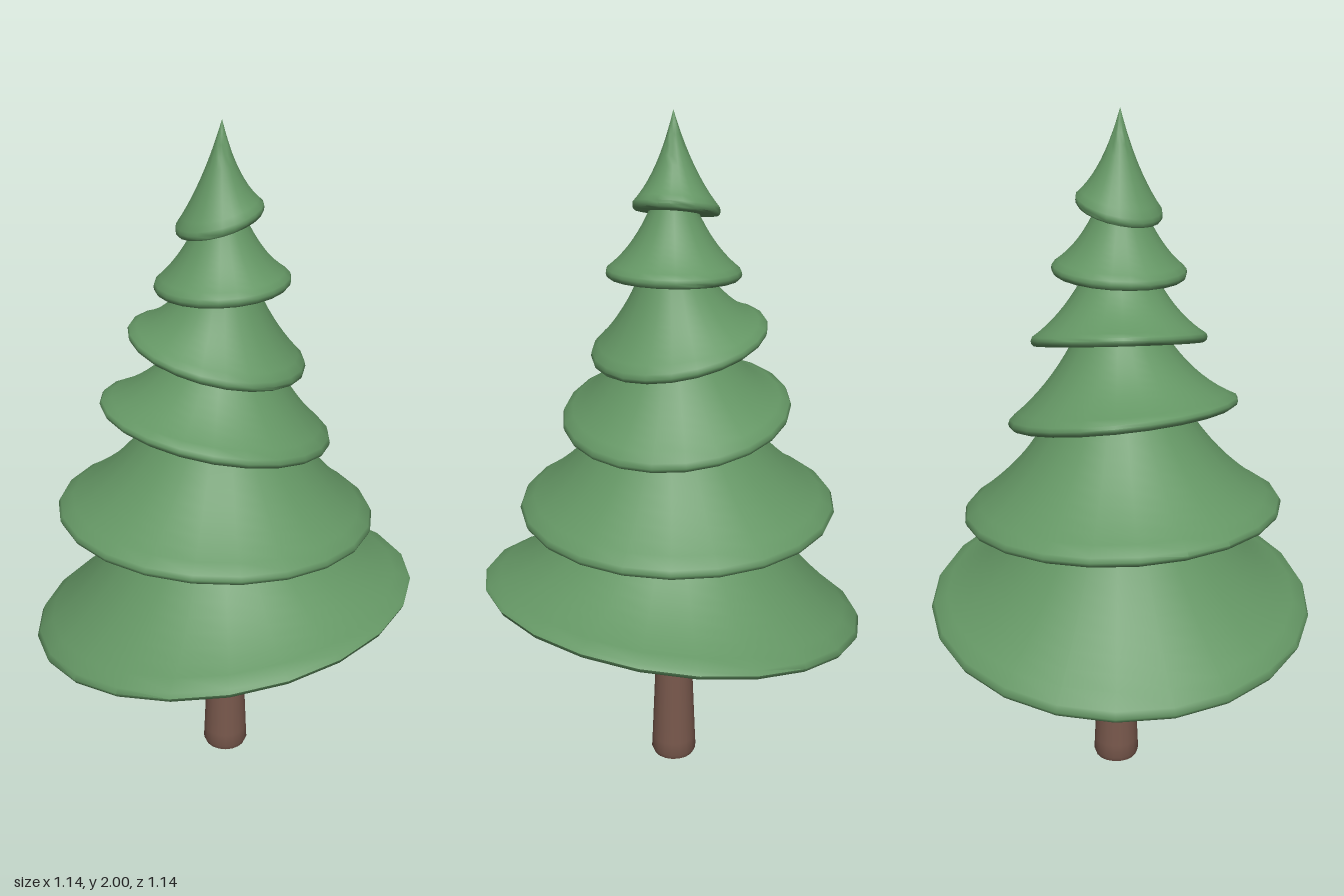
import * as THREE from 'three';
import { toCreasedNormals } from 'three/addons/utils/BufferGeometryUtils.js';

const leafMaterial = new THREE.MeshStandardMaterial({ color: 0x649664 });
const barkMaterial = new THREE.MeshStandardMaterial({ color: 0x78584c });
const v2 = (x, y) => new THREE.Vector2(x, y);

// Foliage tiers, bottom to top: rim centre, rim radius, rim slope along x and z,
// and the neck radius and height where the tier runs into the one above.
const TIERS = [
  { centre: [0, 0.555, 0], radius: 0.572, slope: [0.132, 0.105], neck: [0.235, 0.89] },
  { centre: [-0.018, 0.862, -0.008], radius: 0.468, slope: [-0.048, 0.01], neck: [0.17, 1.2] },
  { centre: [-0.018, 1.152, -0.005], radius: 0.333, slope: [-0.19, -0.02], neck: [0.115, 1.4] },
  { centre: [-0.01, 1.365, -0.015], radius: 0.252, slope: [-0.18, -0.13], neck: [0.085, 1.58] },
  { centre: [0.002, 1.56, -0.002], radius: 0.191, slope: [0.06, 0], neck: [0.055, 1.76] },
  { centre: [-0.004, 1.738, -0.008], radius: 0.121, slope: [0.28, 0], neck: [0, 2] },
];

// A concave skirt with a rounded rim and flat underside; its tilt fades out toward the neck.
function createTier({ centre, radius, slope, neck }, index) {
  const [cx, cy, cz] = centre;
  const height = neck[1] - cy;
  const lip = 0.012 + radius * 0.014;
  const shoulder = v2(radius * 0.985, lip * 0.7);
  const skirt = new THREE.QuadraticBezierCurve(
    shoulder,
    v2(THREE.MathUtils.lerp(radius, neck[0], 0.62), height * 0.36),
    v2(neck[0], height),
  );
  const profile = [
    v2(0, -lip), v2(radius * 0.5, -lip), v2(radius * 0.96, -lip),
    v2(radius * 0.99, -lip * 0.6), v2(radius, 0),
    ...skirt.getPoints(10),
  ];
  const geometry = new THREE.LatheGeometry(profile, 22, -0.05 + index * 0.12);
  const p = geometry.attributes.position;
  for (let i = 0; i < p.count; i++) {
    const x = p.getX(i), y = p.getY(i), z = p.getZ(i);
    const rise = THREE.MathUtils.clamp(y / height, 0, 1);
    const fade = 1 - rise;
    p.setXYZ(i, x + cx * fade, cy + y + (slope[0] * x + slope[1] * z) * fade, z + cz * fade);
  }
  const mesh = new THREE.Mesh(toCreasedNormals(geometry, 1.0), leafMaterial);
  mesh.name = `foliageTier${index + 1}`;
  return mesh;
}

// Tapered trunk with a rounded foot and a shallow hollow underneath.
function createTrunk() {
  const profile = [
    v2(0, 0.015), v2(0.042, 0.012), v2(0.052, 0), v2(0.064, 0.003), v2(0.07, 0.018),
    v2(0.068, 0.06), v2(0.058, 0.3), v2(0.048, 0.53), v2(0.046, 0.58), v2(0, 0.58),
  ];
  const geometry = toCreasedNormals(new THREE.LatheGeometry(profile, 18), 0.9);
  const trunk = new THREE.Mesh(geometry, barkMaterial);
  trunk.name = 'trunk';
  trunk.position.set(0.013, 0, -0.005);
  return trunk;
}

export function createModel() {
  const tree = new THREE.Group();
  tree.name = 'tree';
  const foliage = new THREE.Group();
  foliage.name = 'foliage';
  TIERS.forEach((tier, i) => foliage.add(createTier(tier, i)));
  tree.add(createTrunk(), foliage);
  return tree;
}
